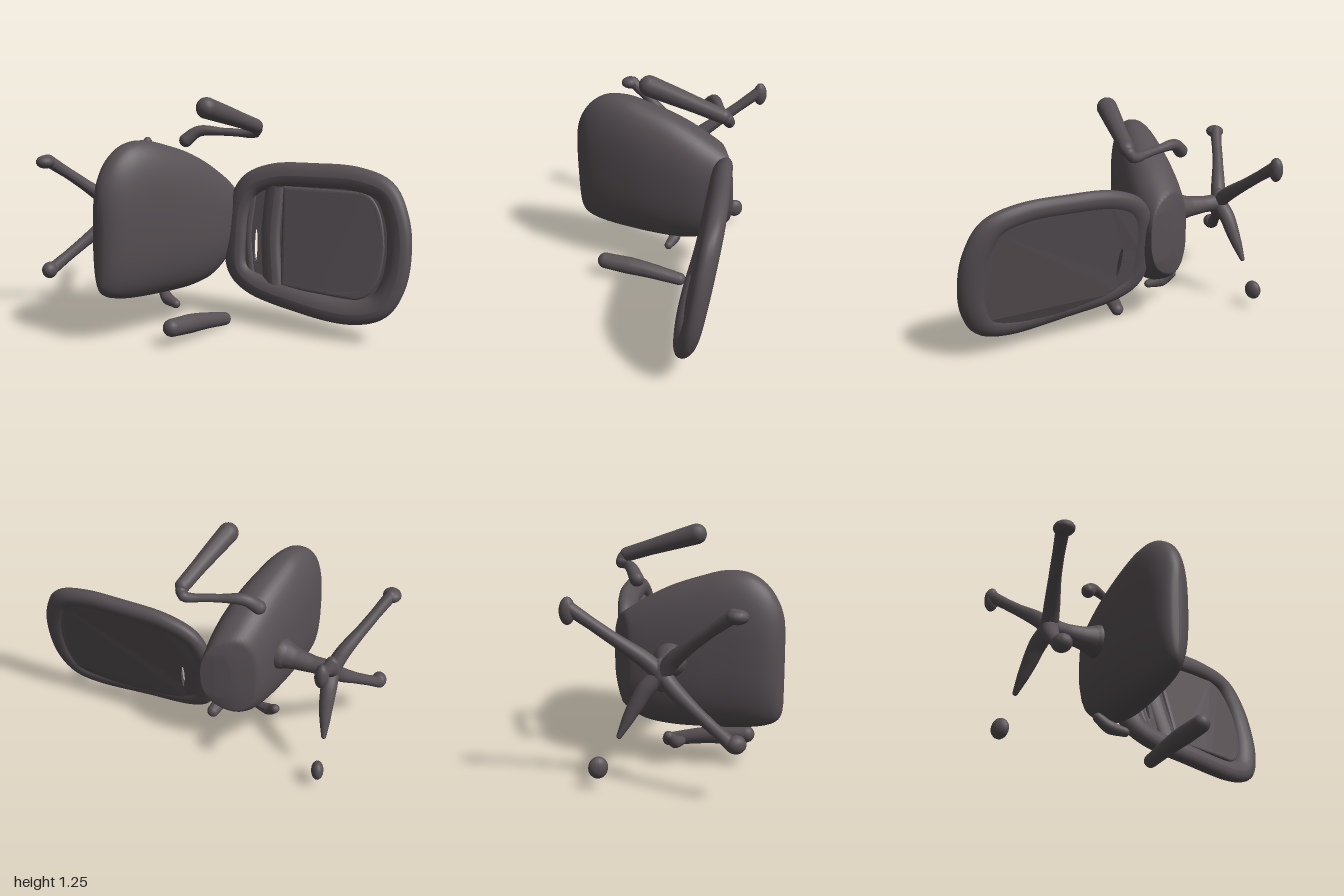
import * as THREE from 'three';

const material = new THREE.MeshStandardMaterial({ color: 0x575054, side: THREE.DoubleSide });
const V = (x, y, z = 0) => new THREE.Vector3(x, y, z);

function add(parent, name, geometry) {
  geometry.computeVertexNormals();
  const mesh = new THREE.Mesh(geometry, material);
  mesh.name = name;
  parent.add(mesh);
  return mesh;
}

// move every vertex by a rule
function warp(geometry, rule) {
  const p = geometry.attributes.position, v = new THREE.Vector3();
  for (let i = 0; i < p.count; i++) {
    v.fromBufferAttribute(p, i);
    rule(v, i);
    p.setXYZ(i, v.x, v.y, v.z);
  }
  return geometry;
}

// round bar along points, radius interpolated from a list, with rounded ends
function bar(parent, name, points, radii) {
  const group = new THREE.Group();
  group.name = name;
  const path = new THREE.CatmullRomCurve3(points.map(p => V(...p)));
  const segs = 28, sides = 16;
  const geometry = warp(new THREE.TubeGeometry(path, segs, 1, sides), (v, i) => {
    const t = Math.floor(i / (sides + 1)) / segs;
    const f = t * (radii.length - 1), k = Math.min(Math.floor(f), radii.length - 2);
    const c = path.getPointAt(t);
    v.sub(c).multiplyScalar(THREE.MathUtils.lerp(radii[k], radii[k + 1], f - k)).add(c);
  });
  add(group, name + 'Shaft', geometry);
  [[0, radii[0]], [1, radii[radii.length - 1]]].forEach(([t, r]) => {
    add(group, name + 'End', new THREE.SphereGeometry(r, 16, 10)).position.copy(path.getPointAt(t));
  });
  parent.add(group);
}

function blob(parent, name, [x, y, z], [sx, sy, sz]) {
  const mesh = add(parent, name, new THREE.SphereGeometry(1, 16, 12));
  mesh.position.set(x, y, z);
  mesh.scale.set(sx, sy, sz);
}

// cushion lofted from rounded sections: [distance, half thickness, low y, high y]
function seatGeometry() {
  const sections = [
    [-0.09, 0.09, 0.42, 0.7], [-0.05, 0.115, 0.37, 0.745], [0.0, 0.13, 0.32, 0.785],
    [0.06, 0.147, 0.27, 0.825], [0.15, 0.163, 0.225, 0.88], [0.28, 0.168, 0.205, 0.945],
    [0.44, 0.163, 0.205, 1.0], [0.58, 0.148, 0.212, 1.035], [0.7, 0.13, 0.222, 1.025],
    [0.79, 0.107, 0.238, 0.97], [0.85, 0.076, 0.262, 0.89], [0.88, 0.042, 0.3, 0.81],
    [0.89, 0.01, 0.36, 0.73]
  ];
  const curve = k => new THREE.CatmullRomCurve3(sections.map(s => V(s[0], s[k], s[3])));
  const thick = curve(1), low = curve(2);
  const rows = 60, cols = 48, pos = [], index = [];
  const pow = (c, e) => Math.sign(c) * Math.abs(c) ** e;
  for (let i = 0; i <= rows; i++) {
    const a = thick.getPoint(i / rows), b = low.getPoint(i / rows);
    // both end sections close onto their centre line
    const half = i % rows ? a.y : 0, mid = (b.y + b.z) / 2, h = (b.z - b.y) / 2;
    for (let j = 0; j < cols; j++) {
      const t = j / cols * Math.PI * 2;
      const y = mid + h * pow(Math.sin(t), 0.78);
      const n = half * pow(Math.cos(t), 0.85) + (y - 0.6) * 0.015 - 0.035 * a.x * a.x;
      const z = -0.165 + 0.837 * a.x + 0.547 * n;
      // flattened rear
      pos.push(-0.05 - 0.547 * a.x + 0.837 * n, y, z < -0.17 ? -0.17 + 0.15 * (z + 0.17) : z);
      if (i < rows) {
        const p = i * cols + j, q = i * cols + (j + 1) % cols;
        index.push(p, q, p + cols, q, q + cols, p + cols);
      }
    }
  }
  const g = new THREE.BufferGeometry();
  g.setAttribute('position', new THREE.Float32BufferAttribute(pos, 3));
  g.setIndex(index);
  return g;
}

// backrest is modelled flat, then leaned and bowed into place
const lean = v => {
  v.z += -0.09 + 0.395 * v.x + 0.2 * (0.5 - v.y) + 0.06 * Math.sin(Math.PI * v.x) * (0.85 - v.y);
};

function buildBackrest(parent) {
  const group = new THREE.Group();
  group.name = 'backrest';
  const outline = new THREE.CatmullRomCurve3([
    [0.085, 0.65], [0.14, 0.75], [0.27, 0.81], [0.5, 0.828], [0.72, 0.825], [0.86, 0.775],
    [0.92, 0.65], [0.937, 0.5], [0.912, 0.32], [0.84, 0.2], [0.7, 0.155], [0.4, 0.18],
    [0.15, 0.235], [0.075, 0.3], [0.065, 0.48]
  ].map(p => V(...p)), true);

  // padded rim
  add(group, 'backrestRim', warp(new THREE.TubeGeometry(outline, 120, 0.063, 18, true), v => {
    v.z *= 0.87;
    lean(v);
  }));

  // panel inside the rim, with a narrow slit near the seat
  const shape = new THREE.Shape(outline.getPoints(70).map(p => new THREE.Vector2(p.x, p.y)));
  const slit = new THREE.Path();
  slit.absellipse(0.18, 0.43, 0.01, 0.09, 0, Math.PI * 2);
  shape.holes.push(slit);
  const panel = new THREE.ExtrudeGeometry(shape, { depth: 0.058, bevelEnabled: false });
  add(group, 'backrestPanel', warp(panel, v => {
    v.z -= 0.045;
    lean(v);
  }));

  // raised pad on the panel
  const pad = new THREE.Shape();
  pad.moveTo(0.34, 0.25);
  for (let i = 1; i <= 10; i++) pad.lineTo(0.34 + 0.038 * i, 0.25 - 0.0015 * i);
  pad.quadraticCurveTo(0.84, 0.26, 0.85, 0.5);
  pad.quadraticCurveTo(0.84, 0.74, 0.74, 0.75);
  pad.lineTo(0.34, 0.745);
  add(group, 'backrestPad', warp(new THREE.ExtrudeGeometry(pad, {
    depth: 0.014, bevelThickness: 0.01, bevelSize: 0.015, bevelSegments: 3
  }), lean));

  // lumbar ridges
  [[0.13, 0.03, 0.28, 0.7], [0.262, 0.055, 0.24, 0.76]].forEach(([x, r, y0, y1]) => {
    const path = new THREE.CatmullRomCurve3([V(x + 0.02, y0), V(x, 0.5), V(x + 0.02, y1)]);
    add(group, 'lumbarRidge', warp(new THREE.TubeGeometry(path, 24, r, 14), v => {
      v.z *= 0.7;
      lean(v);
    }));
  });
  parent.add(group);
}

export function createModel() {
  const chair = new THREE.Group();
  chair.name = 'overturnedChair';

  add(chair, 'seatCushion', seatGeometry());
  buildBackrest(chair);

  // column and star base
  const hub = [-0.635, 0.57, -0.105];
  bar(chair, 'column', [[-0.36, 0.58, 0.02], [-0.47, 0.575, -0.035], hub], [0.09, 0.06, 0.048, 0.05]);
  blob(chair, 'hub', hub, [0.05, 0.085, 0.055]);
  const legs = [
    [[-0.94, 0.895, 0.145], [-0.8, 0.765, 0.025], [-0.69, 0.655, -0.06]],
    [[-0.945, 0.285, 0.15], [-0.8, 0.41, 0.025], [-0.69, 0.505, -0.06]],
    [[-0.54, 0.9, -0.54], [-0.58, 0.755, -0.34], [-0.615, 0.64, -0.18]],
    [[-0.605, 0.27, -0.31], [-0.61, 0.41, -0.235], [-0.62, 0.5, -0.18]]
  ];
  legs.forEach(([tip, mid, root], i) => {
    bar(chair, 'baseLeg', [hub, root, mid, tip], i < 3 ? [0.045, 0.04, 0.032, 0.03, 0.034] : [0.045, 0.045, 0.04, 0.03, 0.014]);
  });
  blob(chair, 'caster', [-0.95, 0.89, 0.16], [0.05, 0.036, 0.055]);
  blob(chair, 'caster', [-0.945, 0.29, 0.165], [0.042, 0.045, 0.05]);
  blob(chair, 'caster', [-0.54, 0.885, -0.545], [0.035, 0.068, 0.04]);
  blob(chair, 'looseCaster', [-0.577, 0.11, -0.41], [0.034, 0.055, 0.05]);

  // upper armrest
  bar(chair, 'upperArmPad', [[-0.055, 1.197, 0.253], [0.06, 1.135, 0.08], [0.165, 1.075, -0.08]], [0.056, 0.05, 0.043, 0.04]);
  bar(chair, 'upperArmSupport', [[0.17, 1.06, -0.1], [0.16, 1.035, -0.115], [0, 1.035, -0.125],
    [-0.16, 1.035, -0.135], [-0.23, 0.985, -0.125]], [0.032, 0.022, 0.022, 0.03, 0.038]);

  // lower armrest
  bar(chair, 'lowerArmPad', [[-0.2, 0.1, 0.505], [-0.08, 0.075, 0.3], [0.02, 0.038, 0.125]], [0.046, 0.05, 0.043, 0.036]);
  bar(chair, 'lowerArmSupport', [[-0.345, 0.17, 0.015], [-0.31, 0.125, 0.06], [-0.25, 0.108, 0.115]], [0.026, 0.034, 0.024]);

  return chair;
}
